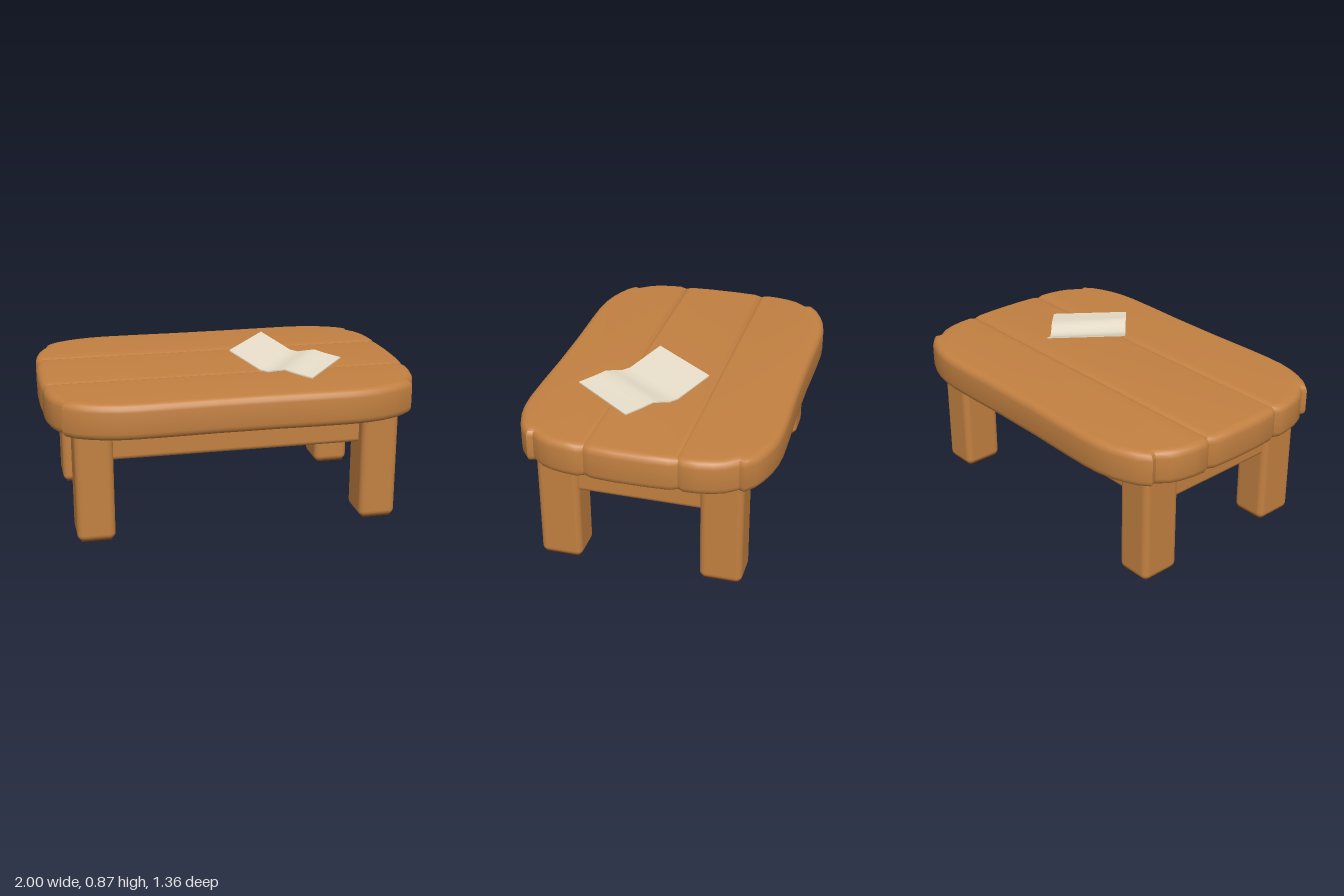
import * as THREE from 'three';
import { toCreasedNormals } from 'three/addons/utils/BufferGeometryUtils.js';
import { RoundedBoxGeometry } from 'three/addons/geometries/RoundedBoxGeometry.js';

export function createModel() {
  const material = (name, color) => {
    const m = new THREE.MeshStandardMaterial({ color });
    m.name = name;
    return m;
  };
  const wood = material('wood', 0xc28041);
  const endGrain = material('darkEndGrain', 0x64300c);
  const paper = material('paper', 0xe8deca);

  const group = new THREE.Group();
  group.name = 'table';

  const add = (name, geometry, mat) => {
    const mesh = new THREE.Mesh(geometry, mat);
    mesh.name = name;
    group.add(mesh);
    return mesh;
  };

  // Plank: the +x half of an outline in x and z, mirrored, with rounded edges
  const plank = (name, half) => {
    const mirrored = half.map(([x, z]) => [-x, z]).reverse();
    const points = [...half, ...mirrored].map(([x, z]) => new THREE.Vector2(x, z));
    const geometry = new THREE.ExtrudeGeometry(new THREE.Shape(points), {
      depth: 0.11, bevelThickness: 0.04, bevelSize: 0.04, bevelOffset: -0.04, bevelSegments: 4,
    });
    geometry.rotateX(Math.PI / 2).translate(0, 0.74, 0);
    return add(name, toCreasedNormals(geometry, 0.7), wood);
  };

  // Outer planks have curved corners with a small notch at each end
  const outer = [
    [0.965, 0.22], [0.992, 0.27], [0.987, 0.34], [0.973, 0.41], [0.95, 0.47], [0.907, 0.525],
    [0.918, 0.555], [0.86, 0.603], [0.8, 0.632], [0.73, 0.656], [0.65, 0.672], [0.56, 0.679],
    [0.4, 0.678], [0.15, 0.672],
  ];
  plank('frontPlank', outer);
  plank('backPlank', outer).rotation.y = Math.PI;
  plank('middlePlank', [
    [0.97, -0.25], [0.993, -0.2], [1, -0.08], [1, 0.08], [0.993, 0.2], [0.97, 0.25],
  ]);

  // Rounded block given by size and centre
  const block = (name, [w, h, d], [x, y, z], radius) => {
    const geometry = new RoundedBoxGeometry(w, h, d, 3, radius);
    return add(name, geometry.translate(x, y, z), wood);
  };

  // Thin dark plate facing down
  const plate = (name, [w, h, d], [x, y, z]) =>
    add(name, new THREE.BoxGeometry(w, h, d).translate(x, y, z), endGrain);

  // Four stout legs with dark soles, and the rails between them
  for (const s of [-1, 1]) {
    for (const t of [-1, 1]) {
      const corner = (t > 0 ? 'front' : 'back') + (s > 0 ? 'Left' : 'Right');
      block(corner + 'Leg', [0.2, 0.627, 0.224], [s * 0.763, 0.3165, t * 0.429], 0.035);
      plate(corner + 'Sole', [0.16, 0.008, 0.184], [s * 0.763, 0.004, t * 0.429]);
      plate(corner + 'UndersidePatch', [0.1, 0.008, 0.09], [s * 0.61, 0.588, t * 0.265]);
    }
    block(s > 0 ? 'frontRail' : 'backRail', [1.42, 0.19, 0.16], [0, 0.512, s * 0.39], 0.025);
    block(s > 0 ? 'leftRail' : 'rightRail', [0.18, 0.19, 0.72], [s * 0.75, 0.506, 0], 0.025);
  }

  // Creased sheet lying on the top: a thin folded profile swept along the creases
  const thickness = 0.007;
  const crest = [
    [0, 0.873], [0.1, 0.831], [0.19, 0.793], [0.24, 0.79], [0.29, 0.804],
    [0.34, 0.816], [0.4, 0.806], [0.503, 0.795],
  ];
  const under = crest.map(([u, y]) => [u, y - thickness]);
  const outline = [...under, ...crest.reverse()].map(([u, y]) => new THREE.Vector2(u, y));
  const sheet = new THREE.ExtrudeGeometry(new THREE.Shape(outline), { depth: 0.428, bevelEnabled: false });
  const across = new THREE.Vector3(0.37, 0, 0.34).normalize();
  const along = new THREE.Vector3(-0.26, 0, 0.34).normalize();
  sheet.applyMatrix4(new THREE.Matrix4()
    .makeBasis(across, new THREE.Vector3(0, 1, 0), along)
    .setPosition(0.29, 0, -0.22));
  add('paperSheet', toCreasedNormals(sheet, 0.8), paper);

  return group;
}
